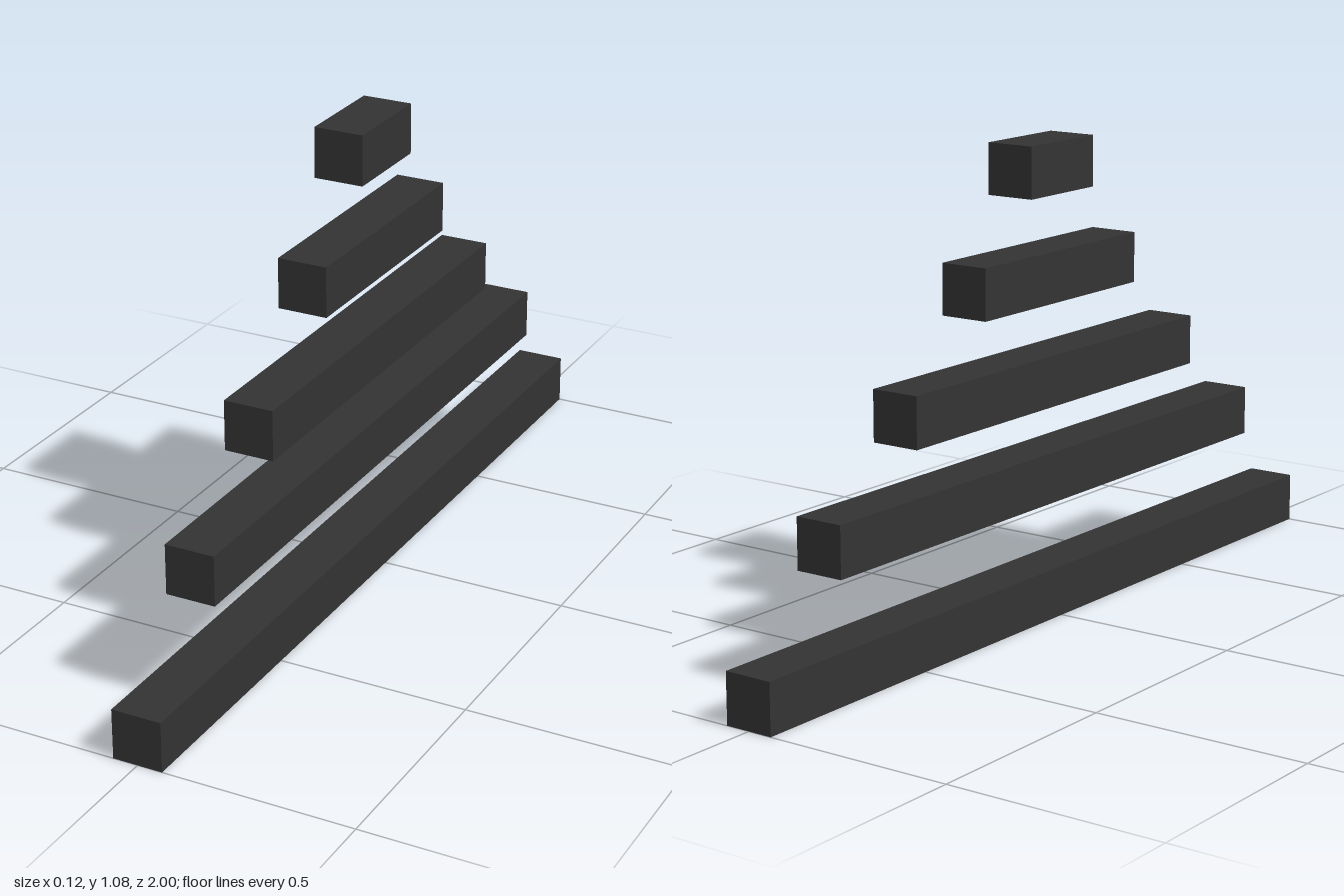
import * as THREE from 'three';

const THICKNESS = 0.116;

// Each bar: height of its underside and its length along z, bottom to top
const BARS = [
  { bottom: 0, length: 2 },
  { bottom: 0.271, length: 1.55 },
  { bottom: 0.492, length: 1.046 },
  { bottom: 0.726, length: 0.566 },
  { bottom: 0.968, length: 0.232 },
];

export function createModel() {
  const model = new THREE.Group();
  model.name = 'barPyramid';
  const material = new THREE.MeshStandardMaterial({ color: 0x333333 });

  // Stack of separate square bars, shorter towards the top
  BARS.forEach(({ bottom, length }, i) => {
    const bar = new THREE.Mesh(new THREE.BoxGeometry(THICKNESS, THICKNESS, length), material);
    bar.name = `bar${i + 1}`;
    bar.position.y = bottom + THICKNESS / 2;
    model.add(bar);
  });

  return model;
}
